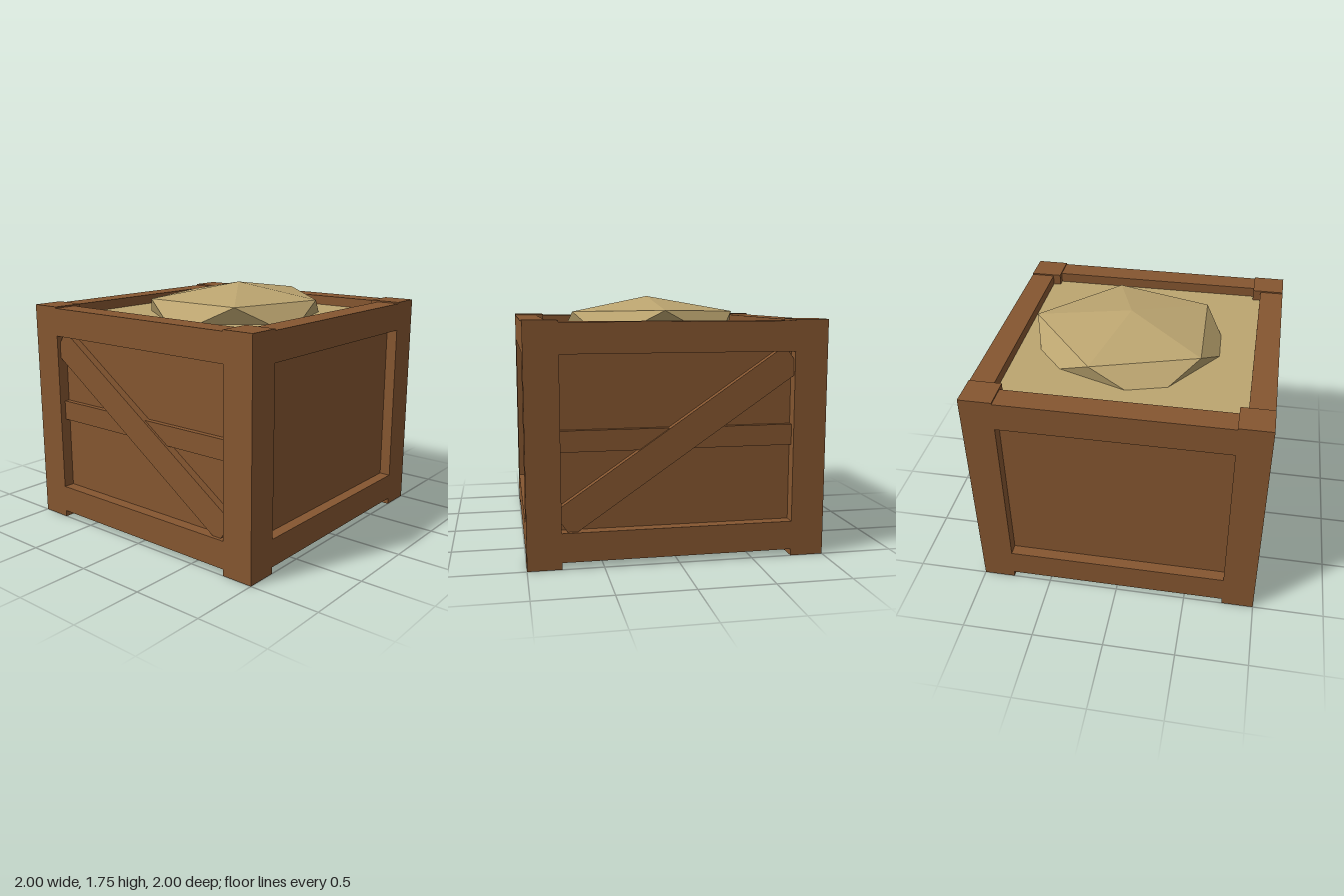
import * as THREE from 'three';

export function createModel() {
  const model = new THREE.Group();
  model.name = 'crate';
  const wood = new THREE.MeshStandardMaterial({ color: 0x855630 });
  wood.name = 'brown wood';
  const sand = new THREE.MeshStandardMaterial({ color: 0xbca570, flatShading: true });
  sand.name = 'pale sand';

  // Box given by its min and max corners
  function box(name, material, min, max, parent = model) {
    const size = max.map((v, i) => v - min[i]);
    const mesh = new THREE.Mesh(new THREE.BoxGeometry(...size), material);
    mesh.position.set(...max.map((v, i) => (v + min[i]) / 2));
    mesh.name = name;
    parent.add(mesh);
    return mesh;
  }

  const post = 0.775; // inner edge of the corner posts
  const panel = 0.92; // recessed panel plane
  const rim = 0.83; // inner edge of the rails
  const sandY = 1.52;

  // Body with recessed panels, and the sand filling
  box('body', wood, [-panel, 0.03, -panel], [panel, 1.48, panel]);
  box('sandFill', sand, [-rim, 1.48, -rim], [rim, sandY, rim]);

  // Corner posts
  for (const sx of [-1, 1]) for (const sz of [-1, 1]) {
    const p = box('cornerPost', wood, [post, 0, post], [1, 1.6, 1]);
    p.position.x *= sx;
    p.position.z *= sz;
  }

  // Top and bottom rails on all four sides
  for (let i = 0; i < 4; i++) {
    const side = new THREE.Group();
    side.name = 'sideRails';
    side.rotation.y = i * Math.PI / 2;
    box('bottomRail', wood, [-post, 0.045, rim], [post, 0.24, 1], side);
    box('topRail', wood, [-post, 1.39, rim], [post, 1.59, 1], side);
    model.add(side);
  }

  // Crossbar and diagonal brace on the left and right sides
  for (const s of [-1, 1]) {
    const bar = box('crossbar', wood, [0.9, 0.76, -post], [0.958, 0.9, post]);
    bar.position.x *= s;
    const brace = box('diagonalBrace', wood, [0.9, 0.7175, -0.9325], [0.975, 0.9175, 0.9325]);
    brace.position.x *= s;
    brace.rotation.x = Math.atan(0.685);
  }

  // Sand mound: faceted cap from an apex, an upper ring and a buried lower ring
  const apex = [0.06, 1.75, 0.05];
  const upper = [[0.755, 1.655, 0.05], [0.24, 1.64, 0.62], [-0.45, 1.64, 0.42],
    [-0.48, 1.645, -0.33], [0.25, 1.64, -0.55]];
  const lower = [[0.6, 1.445, 0.43], [-0.146, 1.445, 0.676], [-0.656, 1.445, 0.057],
    [-0.168, 1.445, -0.642], [0.622, 1.445, -0.356]];
  const tris = [];
  for (let i = 0; i < 5; i++) {
    const j = (i + 1) % 5;
    tris.push(apex, upper[j], upper[i]);
    tris.push(upper[i], upper[j], lower[i]);
    tris.push(upper[j], lower[j], lower[i]);
  }
  const geo = new THREE.BufferGeometry();
  geo.setAttribute('position', new THREE.Float32BufferAttribute(tris.flat(), 3));
  geo.computeVertexNormals();
  const mound = new THREE.Mesh(geo, sand);
  mound.name = 'sandMound';
  model.add(mound);

  return model;
}
